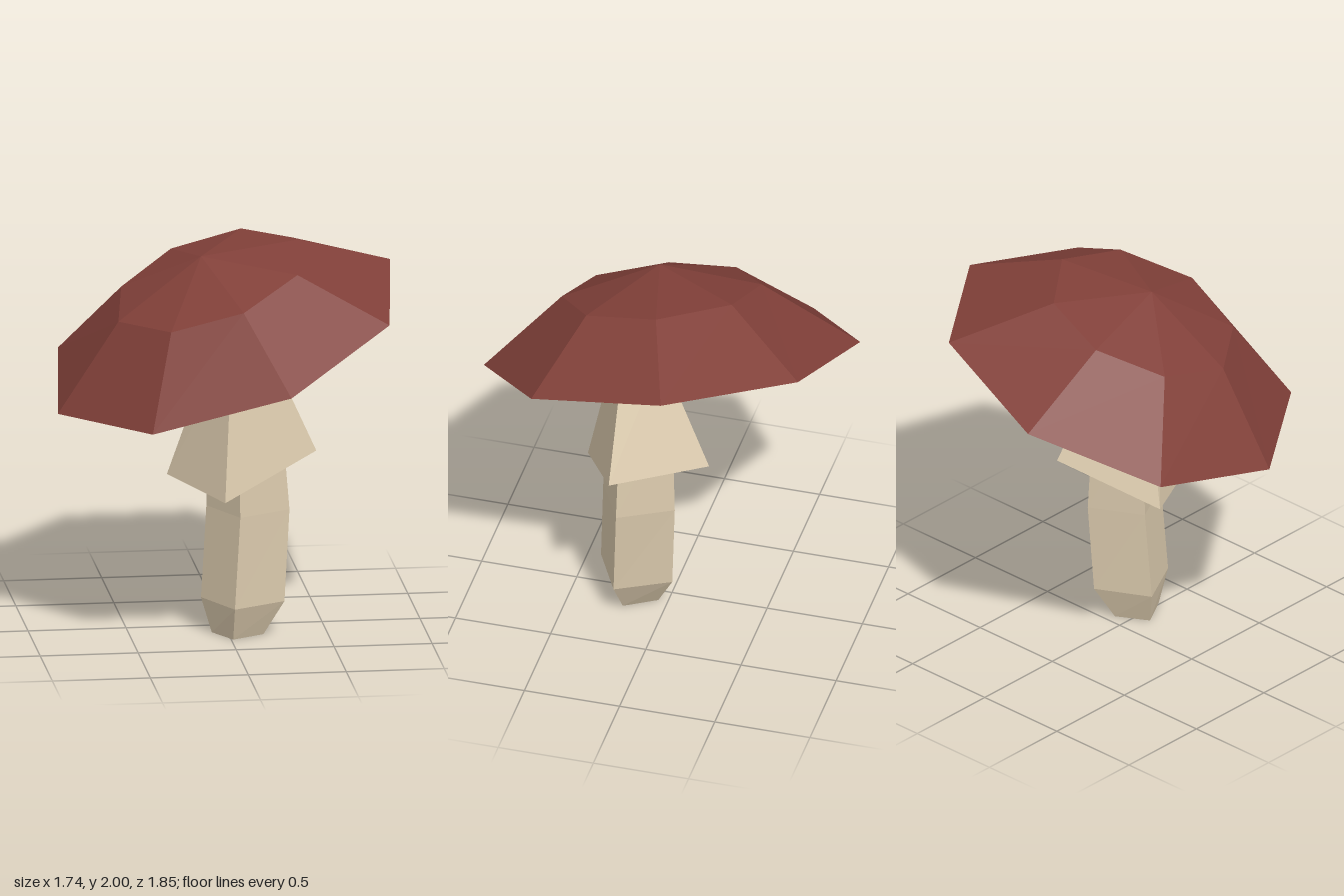
import * as THREE from 'three';

// Joins rings of corners (anticlockwise from above, listed bottom to top) with flat faces.
function loft(rings, apex = null) {
  const pos = [];
  const tri = (a, b, c) => pos.push(...a, ...b, ...c);
  for (let k = 0; k + 1 < rings.length; k++) {
    const lo = rings[k], up = rings[k + 1], n = lo.length;
    for (let i = 0; i < n; i++) {
      const j = (i + 1) % n;
      tri(lo[i], lo[j], up[j]);
      tri(lo[i], up[j], up[i]);
    }
  }
  const last = rings[rings.length - 1];
  if (apex) last.forEach((p, i) => tri(p, last[(i + 1) % last.length], apex));
  return flat(pos);
}

// A flat polygon facing down.
function disc(ring) {
  const pos = [];
  for (let i = 1; i + 1 < ring.length; i++) pos.push(...ring[0], ...ring[i + 1], ...ring[i]);
  return flat(pos);
}

// Unshared corners give flat shading.
function flat(pos) {
  const g = new THREE.BufferGeometry();
  g.setAttribute('position', new THREE.Float32BufferAttribute(pos, 3));
  g.computeVertexNormals();
  return g;
}

function material(name, color) {
  const m = new THREE.MeshStandardMaterial({ color, side: THREE.DoubleSide });
  m.name = name;
  return m;
}

export function createModel() {
  const group = new THREE.Group();
  group.name = 'mushroom';
  const red = material('cap red', 0x814039);
  const cream = material('gill cream', 0xcfbfa3);
  const tan = material('stem tan', 0xdbcaad);

  const add = (name, geometry, mat) => {
    const mesh = new THREE.Mesh(geometry, mat);
    mesh.name = name;
    group.add(mesh);
  };

  // Square stem, open at the foot and leaning slightly
  const level = (y, corners) => corners.map(([x, z]) => [x, y, z]);
  add('stem', loft([
    level(0, [[0.01, 0.30], [0.175, 0.21], [0.08, 0.05], [-0.08, 0.14]]),
    level(0.175, [[0.01, 0.37], [0.28, 0.23], [0.14, -0.04], [-0.13, 0.10]]),
    level(0.65, [[0.04, 0.35], [0.308, 0.21], [0.165, -0.06], [-0.10, 0.08]]),
    level(1.25, [[0.03, 0.32], [0.26, 0.20], [0.14, -0.04], [-0.09, 0.085]]),
  ]), tan);

  // Tilted open skirt, its top buried in the cap
  const hem = [[-0.05, 0.757, 0.455], [0.445, 0.953, 0.21], [0.20, 0.99, -0.25], [-0.29, 0.797, -0.01]];
  const neck = [[0.0, 1.46, 0.30], [0.18, 1.54, 0.21], [0.10, 1.54, 0.02], [-0.08, 1.46, 0.11]];
  const buried = neck.map((p, i) => p.map((v, k) => v + 0.04 * (v - hem[i][k])));
  add('skirt', loft([hem, buried]), tan);

  // Eight-sided tilted cap
  const rim = [
    [0.23, 1.42, 0.925], [0.78, 1.68, 0.525], [0.87, 1.84, -0.18], [0.45, 1.807, -0.785],
    [-0.23, 1.60, -0.925], [-0.78, 1.34, -0.53], [-0.87, 1.18, 0.18], [-0.46, 1.215, 0.78],
  ];
  const shoulder = [
    [0.03, 1.78, 0.57], [0.33, 1.915, 0.36], [0.38, 2.0, -0.02], [0.13, 1.98, -0.35],
    [-0.22, 1.87, -0.41], [-0.50, 1.735, -0.20], [-0.56, 1.65, 0.17], [-0.33, 1.67, 0.49],
  ];
  add('cap', loft([rim, shoulder], [-0.13, 1.96, 0.10]), red);

  // Underside, drawn in a little at its highest and lowest corners
  const gills = rim.map((p) => [...p]);
  gills[2] = [0.835, 1.828, -0.173];
  gills[6] = [-0.835, 1.192, 0.173];
  add('capUnderside', disc(gills), cream);

  return group;
}
